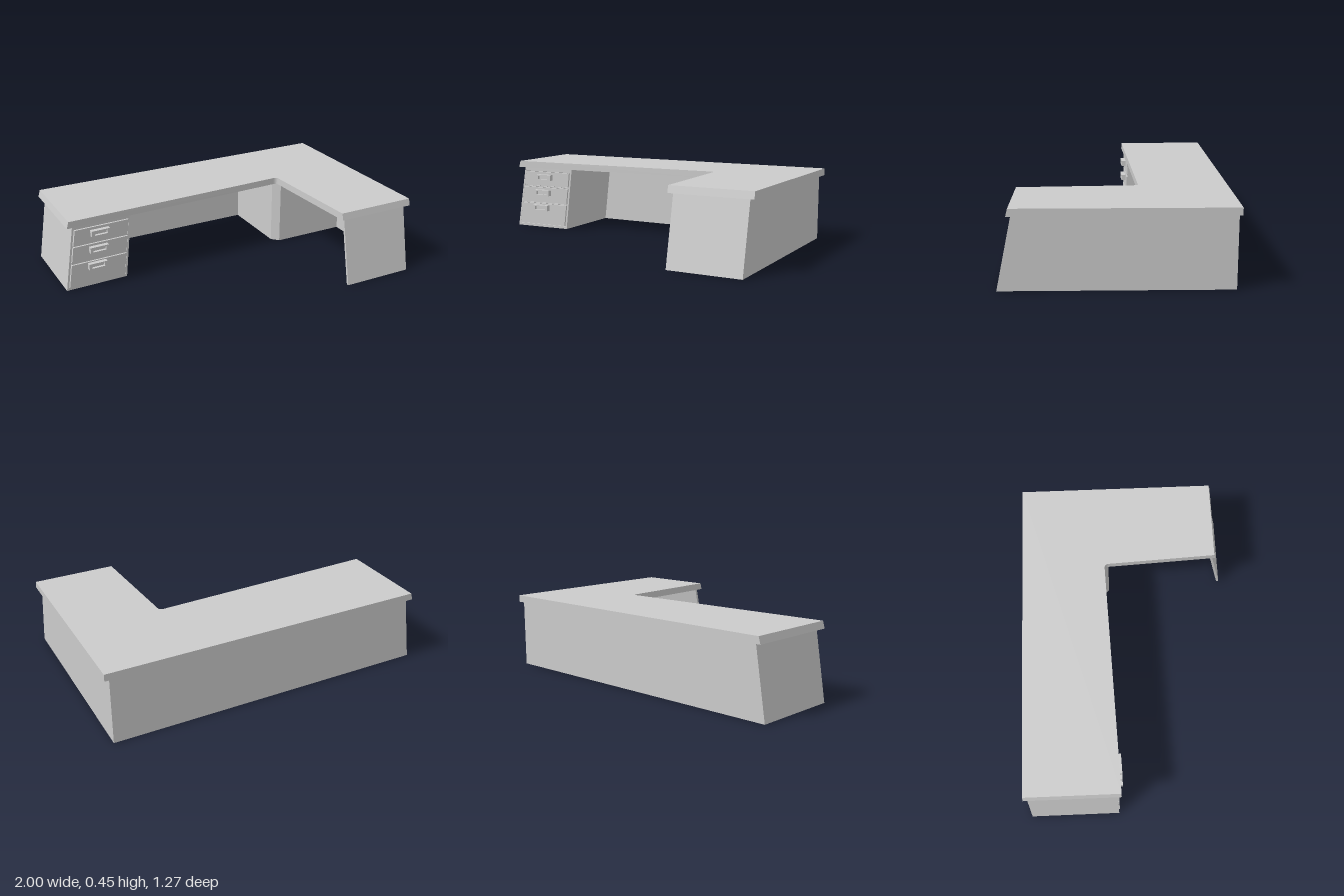
import * as THREE from 'three';

const BASE = 0.005, UNDER = 0.413, TOP = 0.455;
const material = new THREE.MeshStandardMaterial({ color: 0xcccccc, side: THREE.DoubleSide });

function add(parent, name, geometry) {
  const mesh = new THREE.Mesh(geometry, material);
  mesh.name = name;
  parent.add(mesh);
  return mesh;
}

// Upright panel between a bottom and a top quad of [x, z] corners,
// ordered back right, back left, front left, front right.
function panel(bottom, top) {
  const g = new THREE.BoxGeometry(1, 1, 1);
  const p = g.attributes.position;
  for (let i = 0; i < p.count; i++) {
    const corner = p.getZ(i) < 0 ? (p.getX(i) < 0 ? 0 : 1) : (p.getX(i) < 0 ? 3 : 2);
    const high = p.getY(i) > 0;
    const [x, z] = (high ? top : bottom)[corner];
    p.setXYZ(i, x, high ? UNDER : BASE, z);
  }
  g.computeVertexNormals();
  return g;
}

const rect = (x0, x1, z0, z1) => [[x0, z0], [x1, z0], [x1, z1], [x0, z1]];
const outline = (pts) => pts.map(([x, y]) => new THREE.Vector2(x, y));

// Vertical extrusion of a floor plan given as [x, z] points.
function plan(shape, y0, y1) {
  const g = new THREE.ExtrudeGeometry(shape, { depth: y1 - y0, bevelEnabled: false, curveSegments: 6 });
  return g.rotateX(-Math.PI / 2).translate(0, y0, 0);
}

function addDesktop(desk) {
  // L-shaped plan with tapering wings and a rounded inside corner (shape y = -z)
  const s = new THREE.Shape();
  s.moveTo(-0.975, 0.635);
  s.lineTo(-0.975, 0.073);
  s.lineTo(0.445, 0.125);
  s.quadraticCurveTo(0.468, 0.125, 0.469, 0.1);
  s.lineTo(0.503, -0.573);
  s.lineTo(1, -0.573);
  s.lineTo(1, 0.635);
  s.closePath();
  const g = plan(s, UNDER, TOP);
  // the two free ends lean inwards
  const p = g.attributes.position;
  for (let i = 0; i < p.count; i++) {
    if (p.getY(i) < TOP - 0.01) continue;
    if (p.getX(i) < -0.9) p.setX(i, p.getX(i) + 0.012);
    if (p.getZ(i) > 0.5) p.setZ(i, p.getZ(i) - 0.01);
  }
  g.computeVertexNormals();
  add(desk, 'desktop', g);
}

function addBody(desk) {
  add(desk, 'backPanel', panel(rect(-1, 0.97, -0.622, -0.61), rect(-0.937, 0.97, -0.622, -0.61)));
  add(desk, 'sidePanel', panel(rect(0.958, 0.97, -0.622, 0.635), rect(0.958, 0.97, -0.622, 0.55)));
  add(desk, 'wingEndPanel', panel(rect(0.527, 0.97, 0.62, 0.635), rect(0.527, 0.97, 0.535, 0.55)));

  // corner cabinet walls with a chamfered corner (shape y = -z)
  const walls = new THREE.Shape(outline([
    [0.45, 0.615], [0.45, 0.148], [0.49, 0.104], [0.965, 0.104],
    [0.965, 0.114], [0.495, 0.114], [0.46, 0.152], [0.46, 0.615],
  ]));
  add(desk, 'cornerCabinet', plan(walls, BASE, UNDER));
}

function addPedestal(desk) {
  const pedestal = new THREE.Group();
  pedestal.name = 'drawerPedestal';
  desk.add(pedestal);

  // leaning side walls
  add(pedestal, 'outerWall', panel(rect(-1, -0.988, -0.62, -0.092), rect(-0.937, -0.925, -0.62, -0.094)));
  add(pedestal, 'innerWall', panel(rect(-0.622, -0.61, -0.62, -0.105), rect(-0.577, -0.565, -0.62, -0.107)));

  // front, turned slightly to follow the edge of the desktop
  const front = new THREE.Group();
  front.name = 'pedestalFront';
  front.position.set(-1, 0, -0.102);
  front.rotation.y = 0.035;
  pedestal.add(front);

  // leaning left and right edges of the front at height y, measured from x = -1
  const left = (y) => 0.001 + 0.063 * (y - BASE) / (UNDER - BASE);
  const right = (y) => 0.388 + 0.046 * (y - BASE) / (UNDER - BASE);
  const quad = (y0, y1, inset) => outline([
    [left(y0) + inset, y0], [right(y0) - inset, y0], [right(y1) - inset, y1], [left(y1) + inset, y1],
  ]);

  const drawers = [[0.025, 0.165, 0.14], [0.175, 0.278, 0.245], [0.29, 0.385, 0.35]];
  const frame = new THREE.Shape(quad(BASE, UNDER, 0));
  for (const [y0, y1] of drawers) frame.holes.push(new THREE.Path(quad(y0 - 0.003, y1 + 0.003, 0.011)));
  add(front, 'drawerFrame', new THREE.ExtrudeGeometry(frame, { depth: 0.01, bevelEnabled: false }));

  for (const [y0, y1, handleY] of drawers) {
    const face = new THREE.Shape(quad(y0, y1, 0.015));
    add(front, 'drawerFront', new THREE.ExtrudeGeometry(face, { depth: 0.016, bevelEnabled: false }));

    // hollow rectangular pull with a bar set inside
    const x = 0.178 + 0.14 * handleY;
    const box = (w, h) => outline([
      [x - w, handleY - h], [x + w, handleY - h], [x + w, handleY + h], [x - w, handleY + h],
    ]);
    const rim = new THREE.Shape(box(0.058, 0.019));
    rim.holes.push(new THREE.Path(box(0.041, 0.011)));
    add(front, 'handleRim', new THREE.ExtrudeGeometry(rim, { depth: 0.03, bevelEnabled: false }).translate(0, 0, 0.014));
    add(front, 'handleBar', new THREE.BoxGeometry(0.082, 0.022, 0.012).translate(x, handleY, 0.02));
  }
}

export function createModel() {
  const desk = new THREE.Group();
  desk.name = 'cornerDesk';
  addDesktop(desk);
  addBody(desk);
  addPedestal(desk);
  return desk;
}
